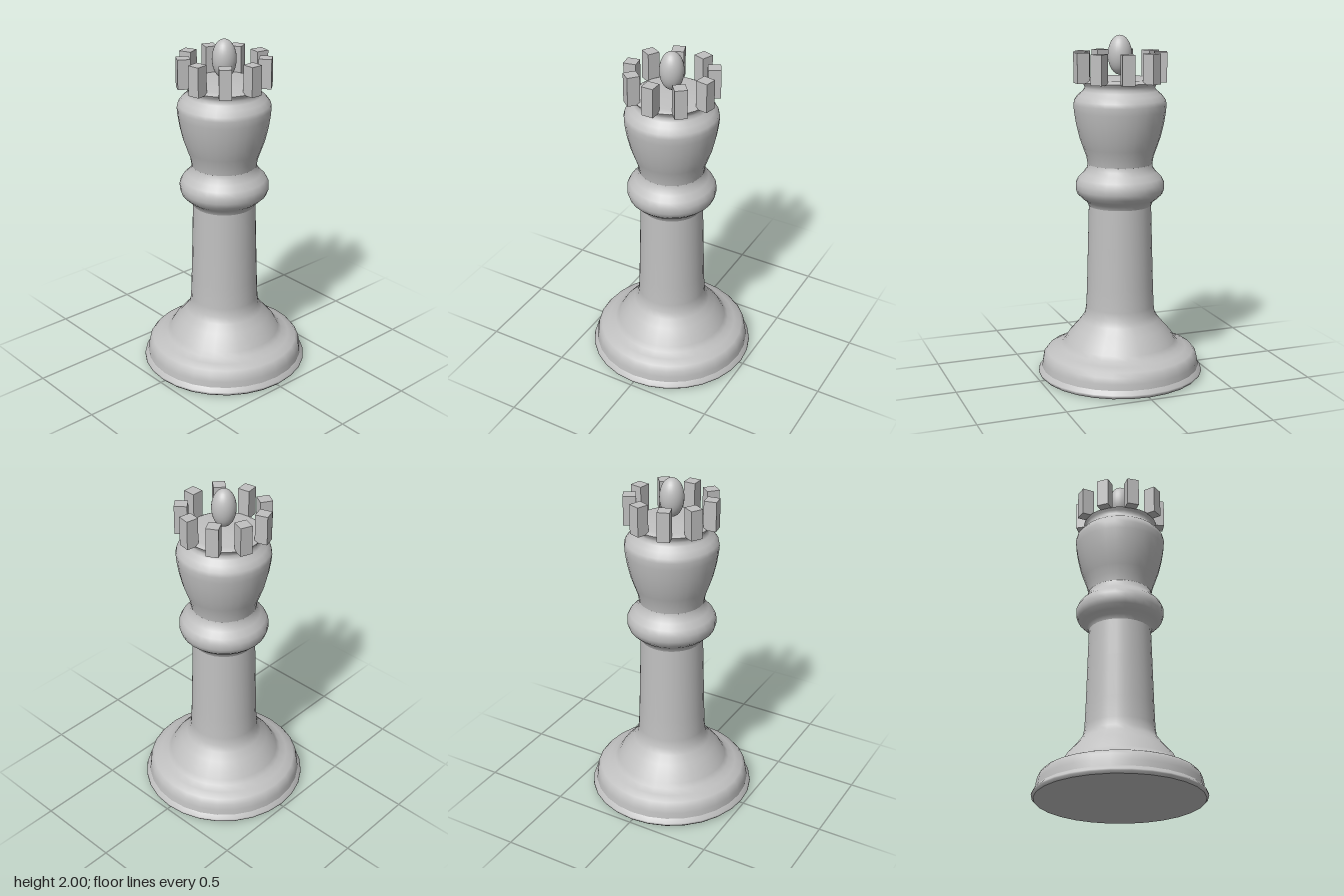
import * as THREE from 'three';

const SIDES = 28;

export function createModel() {
  const stone = new THREE.MeshStandardMaterial({ color: 0xc0c0c0 });
  stone.name = 'grey stone';

  const model = new THREE.Group();
  model.name = 'chessQueen';

  const add = (name, geometry, parent = model) => {
    const mesh = new THREE.Mesh(geometry, stone);
    mesh.name = name;
    parent.add(mesh);
    return mesh;
  };
  // Profiles are [radius, height] pairs running from bottom to top
  const turned = (name, profile) =>
    add(name, new THREE.LatheGeometry(profile.map(([r, y]) => new THREE.Vector2(r, y)), SIDES));

  // Flat underside and the thin rim of the foot
  turned('underside', [[0, 0], [0.475, 0.005]]);
  turned('footRim', [[0.475, 0.005], [0.487, 0.018], [0.485, 0.028], [0.466, 0.05]]);

  // Stepped, flaring base
  turned('base', [
    [0.466, 0.05], [0.462, 0.085], [0.455, 0.12], [0.435, 0.145], [0.39, 0.163],
    [0.35, 0.18], [0.328, 0.205], [0.305, 0.245], [0.265, 0.29], [0.228, 0.335],
    [0.207, 0.37], [0.2, 0.42], [0.195, 0.55], [0.188, 0.8], [0.182, 1.02],
  ]);

  // Rounded collar
  turned('collar', [
    [0.182, 1.02], [0.192, 1.045], [0.22, 1.065], [0.246, 1.09], [0.257, 1.12],
    [0.257, 1.155], [0.242, 1.185], [0.212, 1.215], [0.193, 1.24], [0.187, 1.265],
  ]);

  // Swelling head with a narrow neck and a lip
  turned('head', [
    [0.187, 1.265], [0.195, 1.31], [0.213, 1.36], [0.234, 1.42], [0.253, 1.5],
    [0.264, 1.57], [0.267, 1.61], [0.262, 1.635], [0.24, 1.663], [0.212, 1.686],
    [0.201, 1.705], [0.208, 1.722], [0.218, 1.738],
  ]);
  turned('headTop', [[0.218, 1.738], [0.19, 1.755], [0, 1.76]]);

  // Ring of nine square crown points
  const crown = new THREE.Group();
  crown.name = 'crown';
  model.add(crown);
  const pointGeometry = new THREE.BoxGeometry(0.072, 0.17, 0.07);
  for (let i = 0; i < 9; i++) {
    const angle = (i / 9) * Math.PI * 2;
    const point = add('crownPoint', pointGeometry, crown);
    point.position.set(0.231 * Math.cos(angle), 1.82, 0.231 * Math.sin(angle));
    point.rotation.y = -angle;
  }

  // Egg-shaped finial
  const finial = add('finial', new THREE.SphereGeometry(1, 28, 18));
  finial.scale.set(0.069, 0.112, 0.069);
  finial.position.y = 1.888;

  return model;
}
